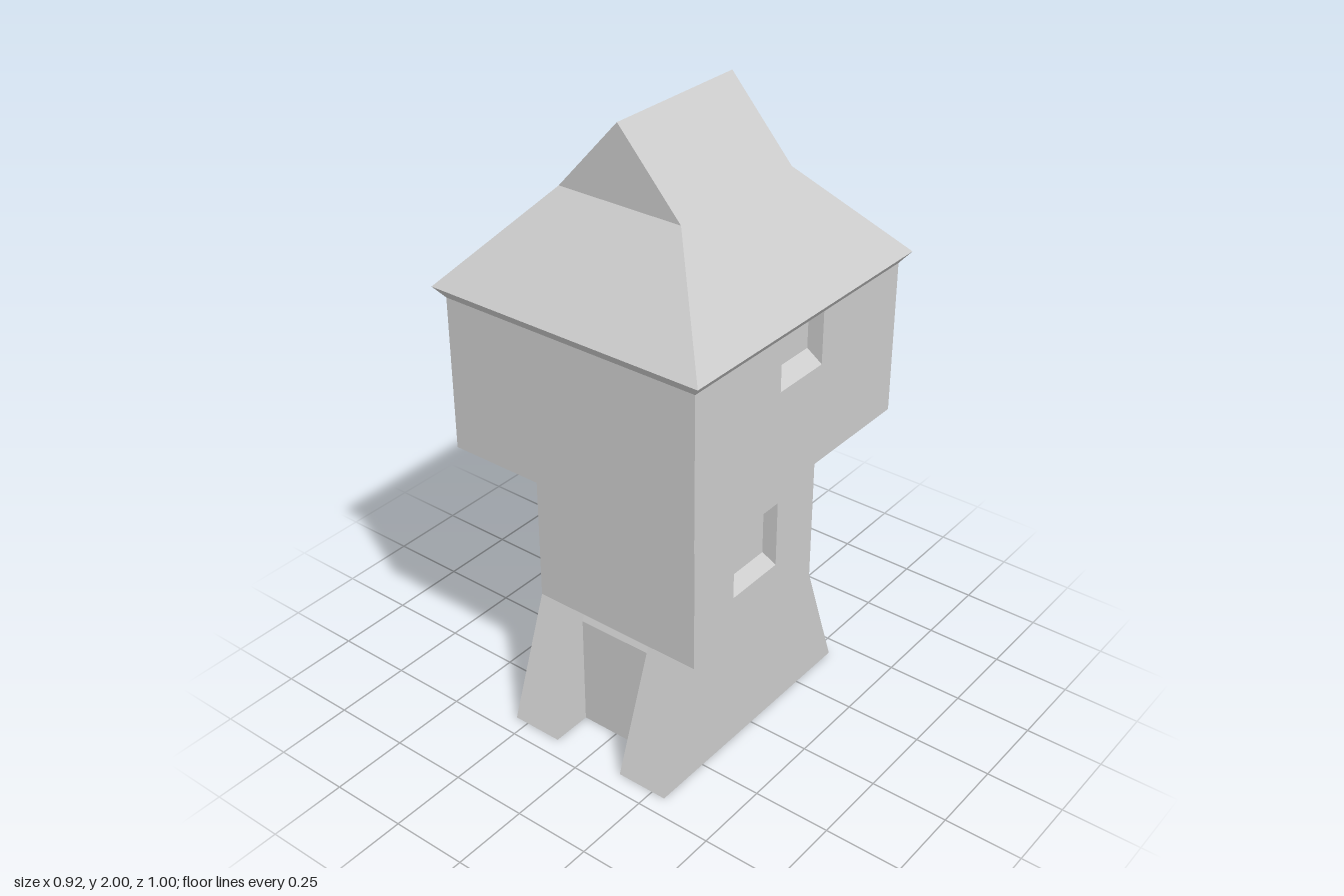
import * as THREE from 'three';

const stone = new THREE.MeshStandardMaterial({ color: 0xcccccc });
stone.name = 'pale grey stone';

const RECESS = 0.05; // window depth

export function createModel() {
  const tower = new THREE.Group();
  tower.name = 'watchtower';

  const add = (name, geometry) => {
    const mesh = new THREE.Mesh(geometry, stone);
    mesh.name = name;
    tower.add(mesh);
    return mesh;
  };
  const outline = pts => new THREE.Shape(pts.map(p => new THREE.Vector2(p[0], p[1])));
  const extrude = (shape, depth) => new THREE.ExtrudeGeometry(shape, { depth, bevelEnabled: false });
  // Profile drawn in z and y, swept from x0 to x1
  const alongX = (shape, x0, x1) => extrude(shape, x1 - x0).rotateY(Math.PI / 2).translate(x0, 0, 0);
  const mirrored = half => [...half, ...half.map(([u, y]) => [-u, y]).reverse()];
  const box = (name, x0, x1, y0, y1, z0, z1) =>
    add(name, new THREE.BoxGeometry(x1 - x0, y1 - y0, z1 - z0)
      .translate((x0 + x1) / 2, (y0 + y1) / 2, (z0 + z1) / 2));
  // Sloping sill on the inside of a +x facing window
  const sill = (name, xOut, halfWidth, y, rise) => add(name, extrude(
    outline([[xOut - RECESS, y], [xOut, y], [xOut - RECESS, y + rise]]), 2 * halfWidth)
    .translate(0, 0, -halfWidth));

  // Shaft with flared foot, split around the door slots
  const W = 0.296, SLOT = 0.125, TOP = 0.97;
  const flared = () => outline(mirrored([[0.438, 0], [W, 0.4], [W, TOP]]));
  const middle = outline(mirrored([[0.304, 0], [0.304, 0.38], [W, 0.4], [W, TOP]]));
  const pierced = flared();
  pierced.holes.push(outline([[-0.107, 0.545], [-0.107, 0.768], [0.107, 0.768], [0.107, 0.545]]));
  add('shaftLeftCore', alongX(flared(), SLOT, W - RECESS));
  add('shaftWindowWall', alongX(pierced, W - RECESS, W));
  add('shaftMiddle', alongX(middle, -SLOT, SLOT));
  add('shaftRight', alongX(flared(), -W, -SLOT));
  sill('shaftWindowSill', W, 0.107, 0.545, 0.025);

  // Overhanging upper room with window notches under the eaves
  const X = 0.432, Z = 0.476, EAVE = 1.455;
  const notched = (u0, u1) => outline([
    [u0, TOP], [u1, TOP], [u1, EAVE], [0.098, EAVE], [0.098, 1.29],
    [-0.098, 1.29], [-0.098, EAVE], [u0, EAVE]]);
  box('upperRoom', -X, X - RECESS, TOP, EAVE, -Z + RECESS, Z);
  add('upperSideWall', alongX(notched(-Z, Z - RECESS), X - RECESS, X));
  add('upperBackWall', extrude(notched(-X, X), RECESS).translate(0, 0, -Z));
  sill('upperSideSill', X, 0.098, 1.29, 0.035);
  sill('upperBackSill', Z, 0.098, 1.29, 0.035).rotation.y = Math.PI / 2;

  // Half-hipped roof: each face is made once and repeated half a turn round
  const EX = 0.46, EZ = 0.502, EY = 1.49, HX = 0.208, HZ = 0.247, HY = 1.77;
  const faceMesh = (name, faces) => {
    const pos = [];
    for (const s of [1, -1]) for (const f of faces)
      for (let i = 1; i < f.length - 1; i++)
        for (const [x, y, z] of [f[0], f[i], f[i + 1]]) pos.push(s * x, y, s * z);
    const g = new THREE.BufferGeometry();
    g.setAttribute('position', new THREE.Float32BufferAttribute(pos, 3));
    g.computeVertexNormals();
    add(name, g);
  };
  faceMesh('eaves', [
    [[-X, EAVE, Z], [X, EAVE, Z], [EX, EY, EZ], [-EX, EY, EZ]],
    [[X, EAVE, Z], [X, EAVE, -Z], [EX, EY, -EZ], [EX, EY, EZ]],
    [[-X, EAVE, 0], [-X, EAVE, -Z], [X, EAVE, -Z], [X, EAVE, 0]],
  ]);
  faceMesh('roof', [
    [[-EX, EY, EZ], [EX, EY, EZ], [HX, HY, HZ], [-HX, HY, HZ]],
    [[-HX, HY, HZ], [HX, HY, HZ], [0, 2, HZ]],
    [[EX, EY, EZ], [EX, EY, -EZ], [HX, HY, -HZ], [HX, HY, HZ]],
    [[HX, HY, HZ], [HX, HY, -HZ], [0, 2, -HZ], [0, 2, HZ]],
  ]);

  return tower;
}
